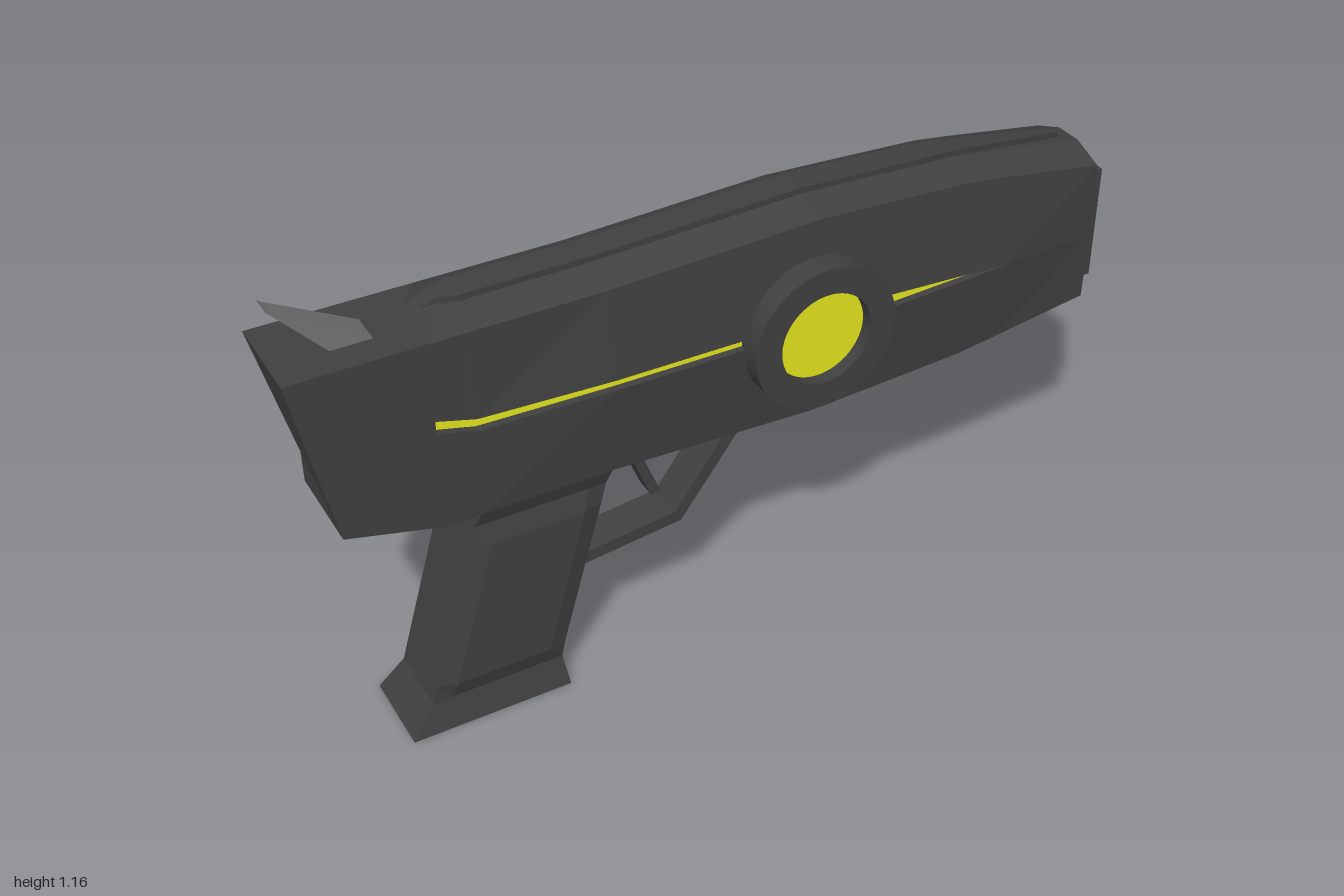
import * as THREE from 'three';

const mat = (color, side = THREE.FrontSide) =>
  new THREE.MeshStandardMaterial({ color, side, flatShading: true });

// Skin a row of equal-length rings; each ring runs counter-clockwise seen from the start.
function loft(rings, capStart = true, capEnd = true) {
  const pos = [];
  const tri = (a, b, c) => {
    const ab = new THREE.Vector3(...b).sub(new THREE.Vector3(...a));
    const ac = new THREE.Vector3(...c).sub(new THREE.Vector3(...a));
    if (ab.cross(ac).length() > 1e-9) pos.push(...a, ...b, ...c);
  };
  const n = rings[0].length;
  for (let i = 0; i < rings.length - 1; i++) {
    for (let j = 0; j < n; j++) {
      const k = (j + 1) % n;
      const [a, b, c, d] = [rings[i][j], rings[i][k], rings[i + 1][k], rings[i + 1][j]];
      tri(a, d, c);
      tri(a, c, b);
    }
  }
  const last = rings[rings.length - 1];
  for (let j = 1; j < n - 1; j++) {
    if (capStart) tri(rings[0][0], rings[0][j], rings[0][j + 1]);
    if (capEnd) tri(last[0], last[j + 1], last[j]);
  }
  const g = new THREE.BufferGeometry();
  g.setAttribute('position', new THREE.Float32BufferAttribute(pos, 3));
  g.computeVertexNormals();
  return g;
}

// Complete a +z half ring with its mirror image.
const mirrorRing = half => [...half, ...half.map(([x, y, z]) => [x, y, -z]).reverse()];

const toShape = pts => new THREE.Shape(pts.map(p => new THREE.Vector2(...p)));

// Extrude a side outline symmetrically about z = 0.
function plate(shape, halfWidth, curveSegments = 12) {
  const g = new THREE.ExtrudeGeometry(shape, { depth: halfWidth * 2, bevelEnabled: false, curveSegments });
  return g.translate(0, 0, -halfWidth);
}

export function createModel() {
  const model = new THREE.Group();
  const dark = mat(0x404040);
  const yellow = mat(0xe6e61e, THREE.DoubleSide);
  const add = (name, geometry, material = dark) => {
    const mesh = new THREE.Mesh(geometry, material);
    mesh.name = name;
    model.add(mesh);
    return mesh;
  };

  // Body stations: x, bottom, shoulder, roof, mid half width, groove low, groove high, groove depth
  const stations = [
    [-0.92, 0.635, 1.04, 1.04, 0.112, 0.79, 0.79, 0],
    [-0.70, 0.58, 1.04, 1.04, 0.114, 0.82, 0.853, 0],
    [-0.695, 0.58, 1.04, 1.042, 0.114, 0.82, 0.852, 0.02],
    [-0.64, 0.58, 1.04, 1.066, 0.115, 0.807, 0.837, 0.02],
    [-0.61, 0.58, 1.04, 1.066, 0.117, 0.80, 0.83, 0.02],
    [-0.30, 0.58, 1.04, 1.068, 0.133, 0.803, 0.828, 0.02],
    [0.20, 0.56, 1.06, 1.086, 0.135, 0.80, 0.826, 0.02],
    [0.37, 0.568, 1.052, 1.078, 0.135, 0.79, 0.826, 0.02],
    [0.60, 0.58, 1.04, 1.066, 0.135, 0.80, 0.814, 0.02],
    [0.70, 0.593, 1.026, 1.052, 0.134, 0.806, 0.806, 0],
    [0.96, 0.63, 0.985, 1.015, 0.115, 0.80, 0.80, 0],
  ];
  const rings = stations.map(([x, bottom, shoulder, roof, w, lo, hi, d], i) => {
    const half = [
      [bottom, 0.112], [lo, w], [lo, w - d], [hi, w - d], [hi, w], [shoulder, 0.112], [roof, 0.035],
    ];
    // The rear face leans back above its middle.
    return mirrorRing(half.map(([y, z]) => [i === 0 ? x - Math.max(0, y - 0.79) * 0.32 : x, y, z]));
  });
  add('body', loft(rings, true, false));

  // Glowing strips on the floor of each side groove
  const grooves = stations.filter(s => s[7] > 0 || s[0] === 0.7);
  for (const side of [1, -1]) {
    const pts = grooves.map(([x, , , , w, lo, hi]) => [lo, hi].map(y => [x, y, side * (w - 0.018)]));
    add(side > 0 ? 'leftStrip' : 'rightStrip', loft(pts.map(([a, b]) => [a, b]), false, false), yellow);
  }

  // Front face and muzzle plate, both pierced by the bore
  const bore = [[0.042, 0.72], [0.06, 0.81], [0.045, 0.892], [-0.045, 0.892], [-0.06, 0.81], [-0.042, 0.72]];
  const pierced = pts => {
    const s = toShape(pts);
    s.holes.push(new THREE.Path(bore.map(p => new THREE.Vector2(...p))));
    return s;
  };
  const face = pierced([[-0.112, 0.63], [0.112, 0.63], [0.115, 0.8], [0.112, 0.985],
    [0.035, 1.015], [-0.035, 1.015], [-0.112, 0.985], [-0.115, 0.8]]);
  add('frontFace', new THREE.ShapeGeometry(face).rotateY(Math.PI / 2).translate(0.96, 0, 0));
  const muzzle = pierced([[-0.085, 0.665], [0.085, 0.665], [0.085, 0.952], [-0.085, 0.952]]);
  add('muzzle', new THREE.ExtrudeGeometry(muzzle, { depth: 0.04, bevelEnabled: false })
    .rotateY(Math.PI / 2).translate(0.96, 0, 0));
  const boreRing = x => bore.map(([z, y]) => [x, y, z]);
  add('bore', loft([boreRing(0.72), boreRing(0.96)], true, false), mat(0x161616, THREE.BackSide));

  // Raised rib along the roof: x, base, top, half width
  const rib = [
    [-0.665, 1.04, 1.058, 0.008], [-0.64, 1.05, 1.08, 0.022], [-0.6, 1.05, 1.08, 0.036],
    [-0.3, 1.05, 1.082, 0.036], [0.2, 1.06, 1.1, 0.036], [0.52, 1.05, 1.085, 0.034],
    [0.6, 1.04, 1.08, 0.03], [0.91, 1.0, 1.037, 0.01], [0.93, 1.0, 1.018, 0.006],
  ];
  add('roofRib', loft(rib.map(([x, y0, y1, w]) => mirrorRing([[x, y0, w], [x, y1, w]]))));

  // Hammer spike at the rear
  add('rearSpike', loft([
    mirrorRing([[-0.775, 1.035, 0.04], [-0.87, 1.035, 0.04]]),
    mirrorRing([[-0.975, 1.15, 0.025], [-0.985, 1.157, 0.025]]),
  ]), mat(0x707070));

  // Round side housings with recessed lenses
  const ring = new THREE.Shape().absarc(0.19, 0.797, 0.178, 0, Math.PI * 2);
  ring.holes.push(new THREE.Path().absarc(0.19, 0.797, 0.114, 0, Math.PI * 2, true));
  add('lensRing', plate(ring, 0.18, 40));
  for (const side of [1, -1]) {
    const lens = add(side > 0 ? 'leftLens' : 'rightLens', new THREE.CircleGeometry(0.116, 40), yellow);
    lens.position.set(0.19, 0.797, side * 0.148);
  }

  // Grip levels: y, back x, front x, edge half width, side half width
  const grip = [
    [0, -0.82, -0.43, 0.105, 0.105], [0.075, -0.76, -0.44, 0.086, 0.086],
    [0.12, -0.747, -0.43, 0.086, 0.099], [0.48, -0.64, -0.325, 0.086, 0.099],
    [0.53, -0.625, -0.312, 0.086, 0.086], [0.59, -0.608, -0.295, 0.106, 0.106],
  ];
  add('grip', loft(grip.map(([y, back, front, edge, side]) => mirrorRing([
    [front, y, edge], [front - 0.045, y, side], [back + 0.045, y, side], [back, y, edge],
  ]))));

  // Trigger and its guard
  add('triggerGuard', plate(toShape([[0.055, 0.58], [0.02, 0.58], [0.02, 0.535], [-0.12, 0.345],
    [-0.39, 0.315], [-0.39, 0.284], [-0.105, 0.316], [0.055, 0.53]]), 0.048));
  add('trigger', plate(toShape([[-0.21, 0.59], [-0.21, 0.5], [-0.17, 0.4], [-0.145, 0.4],
    [-0.188, 0.51], [-0.188, 0.59]]), 0.026));

  return model;
}
